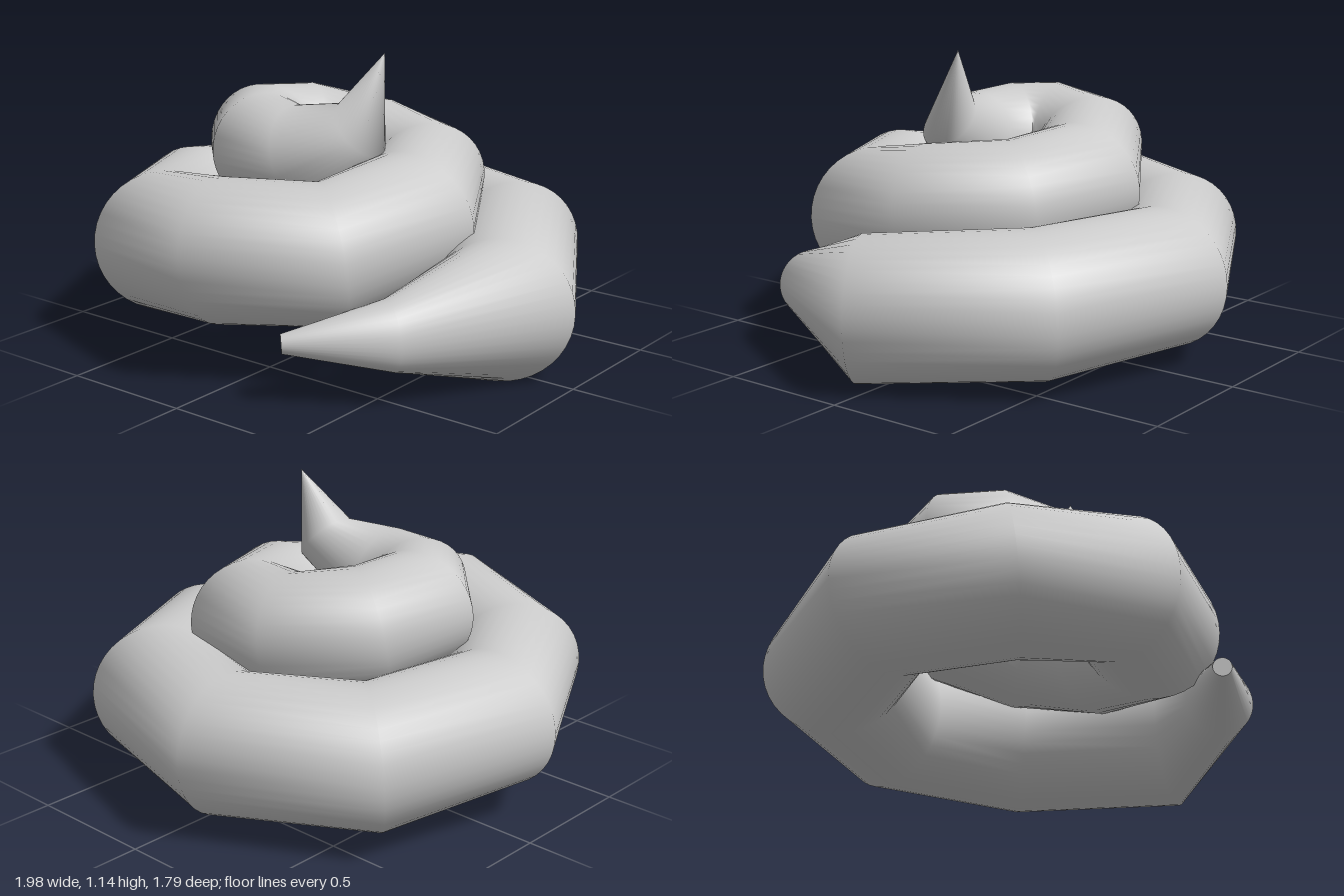
import * as THREE from 'three';

const SIDES = 40;

// Stations along the coil: centre x, y, z, radius, optional forced tangent, optional width factor
const STATIONS = [
  [0.28, 0.235, 0.765, 0.035],
  [0.56, 0.255, 0.51, 0.13],
  [0.745, 0.272, 0.10, 0.27, [-0.47, 0, -0.88]],
  [0.44, 0.315, -0.46, 0.272],
  [-0.10, 0.325, -0.63, 0.268],
  [-0.58, 0.34, -0.38, 0.27],
  [-0.735, 0.385, 0.10, 0.265],
  [-0.51, 0.40, 0.51, 0.27],
  [-0.10, 0.467, 0.63, 0.268],
  [0.25, 0.475, 0.45, 0.265],
  [0.345, 0.55, 0.09, 0.26],
  [0.20, 0.60, -0.20, 0.24],
  [-0.10, 0.635, -0.27, 0.24],
  [-0.34, 0.70, -0.13, 0.23],
  [-0.375, 0.725, 0.085, 0.228],
  [-0.27, 0.74, 0.20, 0.21],
  [-0.06, 0.755, 0.235, 0.185],
  [0.16, 0.865, 0.165, 0.125, [0.7, 0.7, 0], 0.85],
  [0.21, 1.145, 0.08, 0.001, [0, 1, 0.01]],
];

// Sweeps a tapering round section through the stations with straight spans between them
function sweptCoil() {
  const up = new THREE.Vector3(0, 1, 0);
  const centres = STATIONS.map(([x, y, z]) => new THREE.Vector3(x, y, z));
  const pos = [];
  const index = [];
  STATIONS.forEach(([, , , r, forced, width = 1], i) => {
    // tangent bisects the two neighbouring spans
    const t = new THREE.Vector3();
    if (forced) t.fromArray(forced);
    else {
      if (i > 0) t.add(centres[i].clone().sub(centres[i - 1]).normalize());
      if (i < centres.length - 1) t.add(centres[i + 1].clone().sub(centres[i]).normalize());
    }
    t.normalize();
    const u = t.clone().cross(up).normalize();
    const v = t.clone().cross(u);
    for (let j = 0; j < SIDES; j++) {
      const a = (j / SIDES) * Math.PI * 2;
      const p = centres[i].clone()
        .addScaledVector(u, Math.cos(a) * r * width)
        .addScaledVector(v, Math.sin(a) * r);
      pos.push(p.x, p.y, p.z);
    }
  });
  for (let i = 0; i < STATIONS.length - 1; i++) {
    for (let j = 0; j < SIDES; j++) {
      const k = (j + 1) % SIDES;
      const a = i * SIDES + j, b = i * SIDES + k;
      index.push(a, b, b + SIDES, a, b + SIDES, a + SIDES);
    }
  }
  // blunt cap on the lower end
  const first = pos.slice(0, SIDES * 3);
  const base = pos.length / 3;
  pos.push(...first, ...centres[0].toArray());
  for (let j = 0; j < SIDES; j++) index.push(base + SIDES, base + (j + 1) % SIDES, base + j);

  const geo = new THREE.BufferGeometry();
  geo.setAttribute('position', new THREE.Float32BufferAttribute(pos, 3));
  geo.setIndex(index);
  geo.computeVertexNormals();
  return geo;
}

export function createModel() {
  const group = new THREE.Group();
  group.name = 'coiledSwirl';
  const coil = new THREE.Mesh(sweptCoil(), new THREE.MeshStandardMaterial({ color: 0xcccccc }));
  coil.name = 'coil';
  group.add(coil);
  return group;
}
